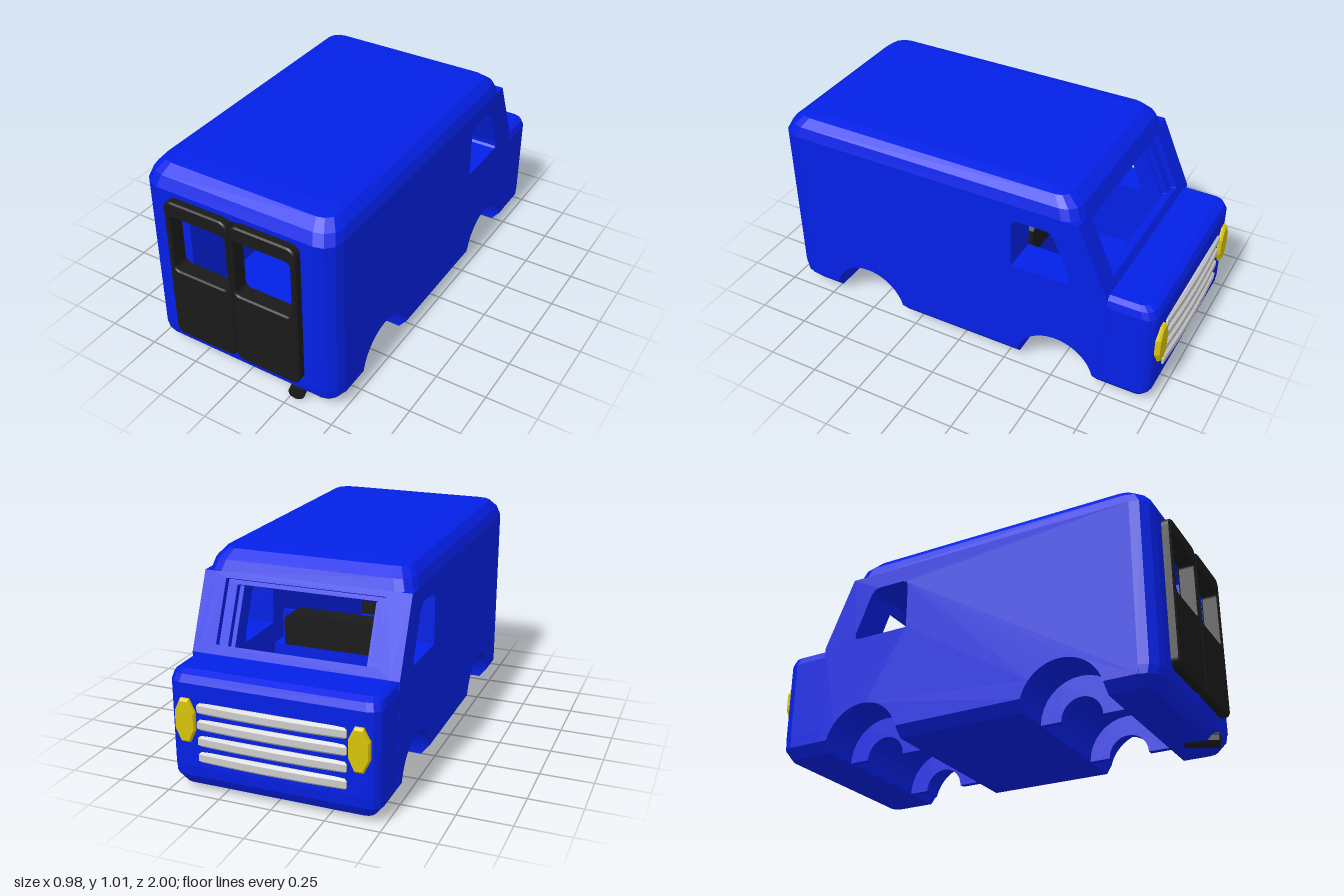
import * as THREE from 'three';

const paint = (color) => new THREE.MeshStandardMaterial({ color, flatShading: true, side: THREE.DoubleSide });
const points = (list) => list.map(([x, y]) => new THREE.Vector2(x, y));

// Closed solid through rounded rectangles stacked upward: [y, halfWidth, zFront, zRear, rFront, rRear]
function loft(rings, seg = 3) {
  const pos = [], idx = [], n = 4 * (seg + 1);
  for (const [y, hw, zf, zr, rf, rr] of rings) {
    for (let q = 0; q < 4; q++) {
      const rear = q < 2, r = rear ? rr : rf;
      const cx = (q === 0 || q === 3 ? 1 : -1) * (hw - r), cz = rear ? zr - r : zf + r;
      for (let k = 0; k <= seg; k++) {
        const a = (q + k / seg) * Math.PI / 2;
        pos.push(cx + r * Math.cos(a), y, cz + r * Math.sin(a));
      }
    }
  }
  const top = (rings.length - 1) * n;
  for (let i = 0; i < top; i += n) {
    for (let j = 0; j < n; j++) {
      const a = i + j, b = i + (j + 1) % n;
      idx.push(a, a + n, b, b, a + n, b + n);
    }
  }
  for (let j = 1; j < n - 1; j++) idx.push(0, j, j + 1, top, top + j + 1, top + j);
  const g = new THREE.BufferGeometry();
  g.setAttribute('position', new THREE.Float32BufferAttribute(pos, 3));
  g.setIndex(idx);
  g.computeVertexNormals();
  return g;
}

// Rectangle with rounded corners
function roundRect(x0, y0, x1, y1, r) {
  const s = new THREE.Shape(), h = Math.PI / 2;
  s.absarc(x1 - r, y0 + r, r, -h, 0);
  s.absarc(x1 - r, y1 - r, r, 0, h);
  s.absarc(x0 + r, y1 - r, r, h, 2 * h);
  s.absarc(x0 + r, y0 + r, r, 2 * h, 3 * h);
  s.closePath();
  return s;
}

const slab = (shape, depth, bevel = 0) => new THREE.ExtrudeGeometry(shape, {
  depth: depth - 2 * bevel, curveSegments: bevel ? 4 : 12,
  bevelEnabled: bevel > 0, bevelSize: bevel, bevelThickness: bevel, bevelSegments: 1,
});

const wheels = [0.52, -0.51], sillY = 0.08, archR = 0.2, baseY = 0.03, cornerR = 0.09;

// Side outline (z, y) with wheel arches and cab window; setback moves the sloped front edge rearward
function sideShape(setback) {
  const s = new THREE.Shape(), a0 = Math.asin((sillY - baseY) / archR);
  s.moveTo(0.96 - cornerR, 0.91);
  s.lineTo(0.96 - cornerR, sillY);
  for (const z of wheels) s.absarc(z, baseY, archR, a0, Math.PI - a0, false);
  s.lineTo(-0.75, sillY);
  s.lineTo(-0.75, 0.57);
  s.lineTo(-0.75 + setback, 0.57);
  s.lineTo(-0.6 + setback, 0.91);
  s.closePath();
  s.holes.push(new THREE.Path(points([
    [-0.28, 0.575], [-0.28, 0.8], [-0.288, 0.822], [-0.31, 0.83], [-0.45, 0.83], [-0.472, 0.822],
    [-0.49, 0.8], [-0.57, 0.61], [-0.572, 0.585], [-0.562, 0.575],
  ])));
  return s;
}

export function createModel() {
  const van = new THREE.Group();
  van.name = 'van';
  const blue = paint(0x0420e6), black = paint(0x1a1a1a), yellow = paint(0xd8c408), grey = paint(0xcccccc);
  const add = (name, geo, mat, x = 0, y = 0, z = 0) => {
    const m = new THREE.Mesh(geo, mat);
    m.name = name;
    m.position.set(x, y, z);
    van.add(m);
    return m;
  };

  // Roof with softened edges
  add('roof', loft([
    [0.91, 0.49, -0.6, 0.96, 0.08, cornerR],
    [0.96, 0.475, -0.58, 0.935, 0.08, cornerR],
    [1.0, 0.44, -0.525, 0.885, 0.06, 0.07],
    [1.01, 0.39, -0.44, 0.8, 0.04, 0.04],
  ]), blue);

  // Nose with hood
  add('nose', loft([
    [baseY, 0.45, -0.945, -0.711, 0.04, 0],
    [sillY, 0.489, -0.975, -0.711, 0.06, 0],
    [0.13, 0.489, -0.98, -0.711, 0.06, 0],
    [0.52, 0.489, -0.98, -0.711, 0.06, 0],
    [0.555, 0.48, -0.965, -0.72, 0.06, 0],
    [0.57, 0.455, -0.93, -0.73, 0.04, 0],
  ]), blue);

  // Underbody between the axles and behind the rear one
  add('middleUnderbody', loft([
    [baseY, 0.45, -0.31, 0.32, 0, 0],
    [sillY, 0.489, -0.315, 0.325, 0, 0],
    [0.1, 0.489, -0.315, 0.325, 0, 0],
  ]), blue);
  add('rearUnderbody', loft([
    [baseY, 0.45, 0.72, 0.91, 0, 0.06],
    [sillY, 0.489, 0.714, 0.95, 0, cornerR],
    [0.13, 0.489, 0.714, 0.96, 0, cornerR],
  ]), blue);

  // Thick sides: outer panel, and a lining that stops behind the windscreen frame
  for (const s of [1, -1]) {
    const wall = s > 0 ? 'left' : 'right';
    add(wall + 'Side', slab(sideShape(0), 0.05).rotateY(-Math.PI / 2), blue, s > 0 ? 0.49 : -0.44);
    add(wall + 'Lining', slab(sideShape(0.066), 0.125).rotateY(-Math.PI / 2), blue, s > 0 ? 0.44 : -0.315);
    const corner = new THREE.CylinderGeometry(cornerR, cornerR, 0.79, 3, 1, true,
      s > 0 ? 0 : -Math.PI / 2, Math.PI / 2);
    add(wall + 'RearCorner', corner, blue, s * (0.49 - cornerR), 0.515, 0.96 - cornerR);
  }
  add('cargoFloor', new THREE.BoxGeometry(0.64, 0.01, 1.62), blue, 0, 0.235, 0.1);

  // Wheel wells across the body, with a ring plate inside each end
  const ring = new THREE.Shape();
  ring.absarc(0, 0, archR, 0, Math.PI, false);
  ring.absarc(0, 0, 0.1, Math.PI, 0, true);
  ring.closePath();
  for (const z of wheels) {
    const well = new THREE.CylinderGeometry(archR, archR, 0.9, 16, 1, true, 0, Math.PI).rotateZ(Math.PI / 2);
    add('wheelWell', well, blue, 0, baseY, z);
    for (const x of [0.28, -0.25]) add('wellRing', slab(ring, 0.03).rotateY(-Math.PI / 2), blue, x, baseY, z);
  }

  // Rear wall with an opening for the doors
  const wall = roundRect(cornerR - 0.49, 0.12, 0.49 - cornerR, 0.91, 0.001);
  wall.holes.push(roundRect(-0.33, 0.16, 0.33, 0.88, 0.03));
  add('rearWall', slab(wall, 0.05), blue, 0, 0, 0.91);

  // Rear doors, set into the wall
  const bev = 0.007;
  const span = (s, a, b) => (s > 0 ? [a, b] : [-b, -a]);
  for (const s of [1, -1]) {
    const [d0, d1] = span(s, 0.001, 0.338), [w0, w1] = span(s, 0.02, 0.31);
    const door = roundRect(d0 + bev, 0.15 + bev, d1 - bev, 0.887 - bev, 0.035);
    door.holes.push(roundRect(w0 - bev, 0.52 - bev, w1 + bev, 0.81 + bev, 0.03));
    add(s > 0 ? 'leftRearDoor' : 'rightRearDoor', slab(door, 0.085, bev), black, 0, 0, 0.915 + bev);
  }

  // Sloped windscreen frame, stepped inward
  const tilt = Math.atan2(0.15, 0.34), len = Math.hypot(0.15, 0.34);
  [[0.38, 0.045, 0.345, 0], [0.335, 0.04, 0.325, 0.03]].forEach(([hw, v0, v1, d]) => {
    const frame = roundRect(-0.45, 0, 0.45, len, 0.001);
    frame.holes.push(roundRect(-hw, v0, hw, v1, 0.005));
    const m = add('windscreenFrame', slab(frame, 0.03), blue,
      0, 0.57 - d * Math.sin(tilt), -0.75 + d * Math.cos(tilt));
    m.rotation.x = tilt;
  });

  // Cab bench back on its base, and the partition behind it
  add('partition', new THREE.BoxGeometry(0.63, 0.365, 0.03), blue, 0, 0.4225, -0.16);
  add('benchBase', new THREE.BoxGeometry(0.63, 0.23, 0.1), blue, 0, 0.355, -0.225);
  const bench = new THREE.Shape(points([
    [-0.26, 0.47], [0.26, 0.47], [0.26, 0.605], [0.22, 0.63], [-0.22, 0.63], [-0.26, 0.605],
  ]));
  add('benchBack', slab(bench, 0.1), black, 0, 0, -0.275);

  // Headlights
  for (const s of [1, -1]) {
    const lamp = new THREE.CylinderGeometry(0.9, 1, 0.01, 8).translate(0, 0.025, 0);
    const rim = new THREE.CylinderGeometry(1, 1, 0.04, 8);
    for (const g of [lamp, rim]) {
      g.rotateY(Math.PI / 8).rotateX(-Math.PI / 2).scale(0.052, 0.11, 1);
      add('headlight', g, yellow, s * 0.402, 0.35, -0.97);
    }
  }

  // Bowed grille slats with bevelled edges
  const bow = new THREE.Shape();
  bow.moveTo(-0.333, 0.96);
  bow.lineTo(0.333, 0.96);
  bow.lineTo(0.333, 0.978);
  bow.quadraticCurveTo(0, 0.998, -0.333, 0.978);
  bow.closePath();
  for (let i = 0; i < 4; i++) {
    add('grilleSlat', slab(bow, 0.055, 0.012).rotateX(-Math.PI / 2), grey, 0, 0.165 + i * 0.077, 0);
  }

  // Exhaust pipe
  const pipe = new THREE.LineCurve3(new THREE.Vector3(0.25, 0.055, 0.8), new THREE.Vector3(0.287, 0.038, 0.955));
  add('exhaust', new THREE.TubeGeometry(pipe, 1, 0.038, 10), black);
  const tip = add('exhaustEnd', new THREE.CircleGeometry(0.038, 10), black, 0.287, 0.038, 0.955);
  tip.rotation.set(0.1, 0.23, 0);

  return van;
}
